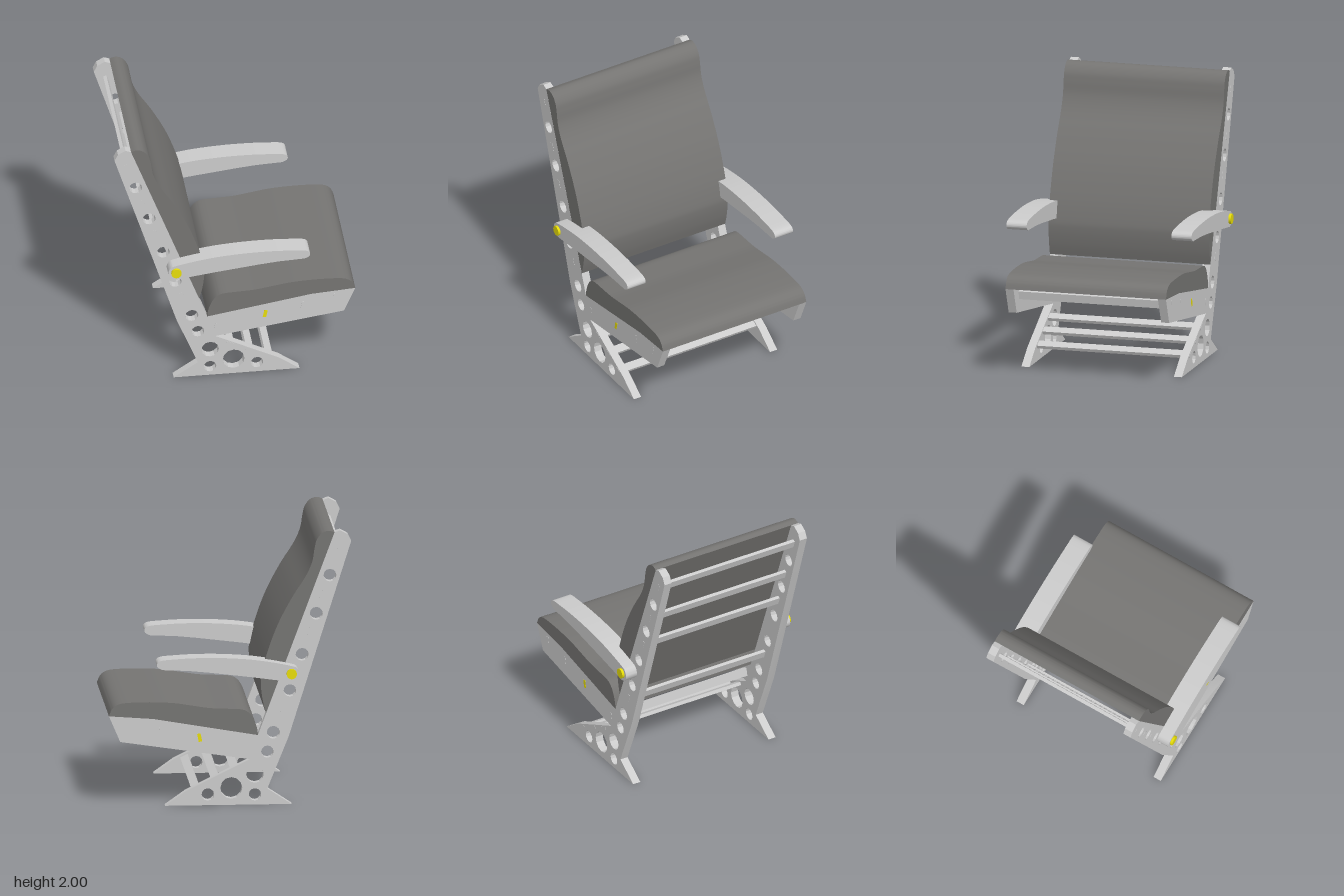
import * as THREE from 'three';
import { toCreasedNormals } from 'three/addons/utils/BufferGeometryUtils.js';

const grey = new THREE.MeshStandardMaterial({ color: 0xcccccc });
const fabric = new THREE.MeshStandardMaterial({ color: 0x757472 });
const yellow = new THREE.MeshStandardMaterial({ color: 0xe6dc0a });

const vectors = (points) => points.map(([x, y]) => new THREE.Vector2(x, y));

// Extrudes a side profile from z0 to z1, smoothing gentle bends only
function extrude(name, shape, z0, z1, material, curveSegments = 5) {
  let geometry = new THREE.ExtrudeGeometry(shape, { depth: z1 - z0, bevelEnabled: false, curveSegments });
  geometry.translate(0, 0, z0);
  geometry = toCreasedNormals(geometry, 0.5);
  const mesh = new THREE.Mesh(geometry, material);
  mesh.name = name;
  return mesh;
}

// Closed profile: a smooth curve through the first list, then straight lines through the second
function softShape(curve, straight = []) {
  const shape = new THREE.Shape();
  shape.moveTo(...curve[0]);
  shape.splineThru(vectors(curve.slice(1)));
  straight.forEach((p) => shape.lineTo(...p));
  shape.closePath();
  return shape;
}

// Side plate: backrest post, seat rail and foot in one piece
function sidePlateShape() {
  const shape = new THREE.Shape(vectors([
    [-0.447, 0], [0.463, 0], [0.315, 0.105], [-0.146, 0.333], [0.786, 0.472], [0.867, 0.661],
    [0.548, 0.637], [-0.204, 0.508], [-0.755, 1.985], [-0.795, 2], [-0.85, 1.97], [-0.875, 1.92],
    [-0.426, 0.497], [-0.272, 0.116],
  ]));
  const holes = [
    [-0.722, 1.672, 0.046], [-0.624, 1.394, 0.047], [-0.522, 1.095, 0.047], [-0.434, 0.832, 0.045],
    [-0.315, 0.527, 0.047], [-0.272, 0.386, 0.045], [-0.183, 0.222, 0.063], [-0.013, 0.124, 0.079],
    [-0.183, 0.074, 0.045], [0.156, 0.079, 0.045],
  ];
  for (const [x, y, r] of holes) {
    const hole = new THREE.Path();
    hole.absarc(x, y, r, 0, Math.PI * 2, true);
    shape.holes.push(hole);
  }
  return shape;
}

export function createModel() {
  const chair = new THREE.Group();
  chair.name = 'chair';

  // Cushions span the full width
  const seat = softShape([
    [-0.204, 0.508], [-0.198, 0.56], [-0.172, 0.63], [-0.135, 0.677], [-0.085, 0.698], [0.01, 0.704],
    [0.14, 0.711], [0.27, 0.731], [0.4, 0.751], [0.56, 0.76], [0.72, 0.758], [0.8, 0.746],
    [0.844, 0.714], [0.867, 0.661],
  ], [[0.548, 0.637]]);
  chair.add(extrude('seatCushion', seat, -0.6, 0.6, fabric));

  const back = softShape([
    [-0.262, 0.667], [-0.24, 0.757], [-0.226, 0.862], [-0.23, 0.942], [-0.267, 1.1], [-0.345, 1.312],
    [-0.447, 1.508], [-0.548, 1.667], [-0.594, 1.772], [-0.611, 1.868], [-0.627, 1.931],
    [-0.664, 1.98], [-0.712, 1.997], [-0.755, 1.985],
  ]);
  chair.add(extrude('backCushion', back, -0.6, 0.6, fabric));

  // Mirrored side parts
  const plate = sidePlateShape();
  const arm = softShape([
    [-0.44, 0.912], [-0.48, 0.928], [-0.498, 0.97], [-0.48, 1.012], [-0.44, 1.029], [-0.3, 1.058],
    [-0.15, 1.08], [0, 1.092], [0.14, 1.097], [0.28, 1.096], [0.38, 1.091], [0.49, 1.082],
    [0.525, 1.062], [0.524, 1.033], [0.49, 1.013],
  ], [[0.3, 1.004], [0.16, 0.99], [-0.15, 0.952]]);
  for (const [side, s] of [['left', 1], ['right', -1]]) {
    const span = (a, b) => (s > 0 ? [a, b] : [-b, -a]);
    chair.add(extrude(side === 'left' ? 'frontSidePlate' : 'rearSidePlate', plate, ...span(0.54, 0.6), grey, 6));
    chair.add(extrude('armrest', arm, ...span(0.541, 0.692), grey));
    const bolt = new THREE.Mesh(new THREE.CylinderGeometry(0.037, 0.037, 0.11, 16), yellow);
    bolt.name = 'armrestPivot';
    bolt.rotation.x = Math.PI / 2;
    bolt.position.set(-0.44, 0.972, s * 0.655);
    chair.add(bolt);
  }

  // Cross bars joining the plates: x, y, tilt, thickness, height
  const bars = [
    ['backBar', -0.785, 1.85, 0.34], ['backBar', -0.67, 1.53, 0.34],
    ['backBar', -0.58, 1.26, 0.34], ['backBar', -0.385, 0.7, 0.34],
    ['seatBar', -0.14, 0.413, -0.2], ['seatBar', 0.49, 0.548, -0.2], ['seatBar', 0.72, 0.592, -0.2],
    ['reclineBar', 0.215, 0.496, -0.2],
    ['footBar', -0.04, 0.258, 1.11], ['footBar', 0.1, 0.19, 1.11], ['footBar', 0.24, 0.117, 1.11],
  ];
  for (const [name, x, y, tilt] of bars) {
    const bar = new THREE.Mesh(
      new THREE.BoxGeometry(0.025, 0.06, 1.203),
      name === 'reclineBar' ? yellow : grey,
    );
    bar.name = name;
    bar.position.set(x, y, 0);
    bar.rotation.z = tilt;
    chair.add(bar);
  }
  return chair;
}
